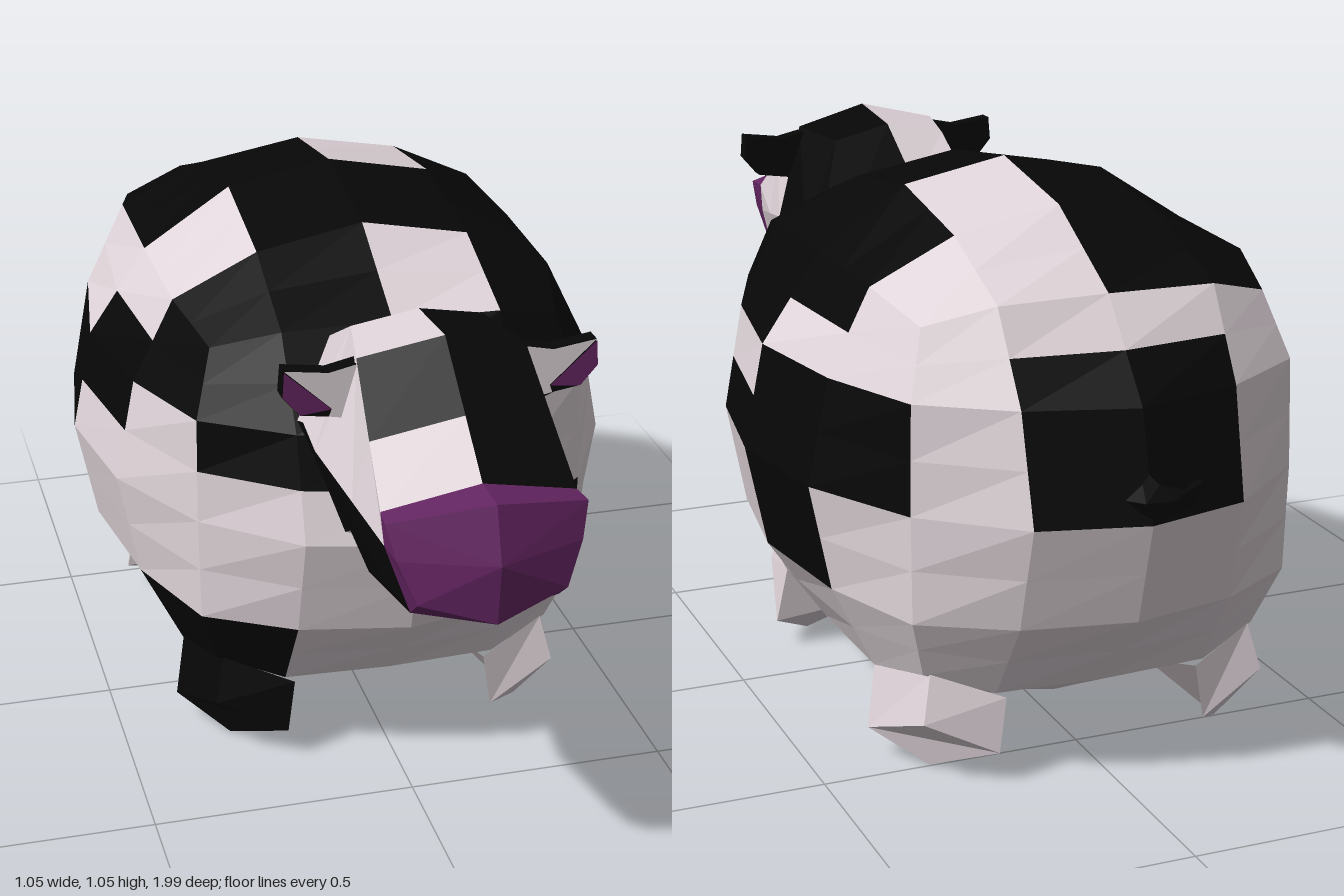
import * as THREE from 'three';

const material = (name, color) => Object.assign(new THREE.MeshStandardMaterial({ color }), { name });

export function createModel() {
  const model = new THREE.Group();
  model.name = 'spottedAnimal';
  const white = material('pinkish white', 0xe0d5da);
  const black = material('black', 0x070707);
  const purple = material('purple', 0x642562);

  const lerp = (a, b, t) => a.map((v, i) => v + (b[i] - v) * t);

  // Flat-shaded mesh from a list of polygons (each an array of points, counter-clockwise)
  function addFaces(name, polygons, mat, parent = model) {
    const pos = [];
    for (const p of polygons)
      for (let i = 1; i < p.length - 1; i++) pos.push(...p[0], ...p[i], ...p[i + 1]);
    if (!pos.length) return;
    const g = new THREE.BufferGeometry();
    g.setAttribute('position', new THREE.Float32BufferAttribute(pos, 3));
    g.computeVertexNormals();
    const mesh = new THREE.Mesh(g, mat);
    mesh.name = name;
    parent.add(mesh);
  }

  // Quads joining two rings of points
  const band = (a, b) => a.map((p, i) => {
    const j = (i + 1) % a.length;
    return [p, a[j], b[j], b[i]];
  });

  // ---- Body: a cube-sphere, 4 x 4 cells a side, stretched lengthwise ----
  const CENTRE = [0, 0.54, -0.14], RADII = [0.525, 0.515, 0.67];
  const U = [[0, 0, 0], [0.383, 0.39, 0.395], [0.707, 0.7, 0.63]];
  const W = [[1, 0.924, 0.707], [0.924, 0.85, 0.7], [0.707, 0.7, 0.63]];
  // Spots per cell: # black, . white, n upper half black, u lower half black
  const sides = [
    { to: (u, v, w) => [w, v, -u], spots: ['##n.', '.u##', '..#.', '#...'] },   // left flank
    { to: (u, v, w) => [-w, v, u], spots: ['..u#', '##n.', '.#..', '...#'] },   // right flank
    { to: (u, v, w) => [u, v, w], spots: ['####', 'nn..', '...#', '#...'] },    // chest
    { to: (u, v, w) => [-u, v, -w], spots: ['.uu.', '.##.', '....', '....'] },  // rump
    { to: (u, v, w) => [u, w, -v], spots: ['##..', '##.#', '.###', '##.#'] },   // back
    { to: (u, v, w) => [u, -w, v], spots: ['....', '....', '....', '....'] },   // belly
  ];
  const coat = { white: [], black: [] };
  for (const { to, spots } of sides) {
    const point = (i, j) => {
      const a = Math.abs(i), b = Math.abs(j);
      return to(Math.sign(i) * U[a][b], Math.sign(j) * U[b][a], W[a][b])
        .map((v, k) => CENTRE[k] + v * RADII[k]);
    };
    for (let r = 0; r < 4; r++) for (let c = 0; c < 4; c++) {
      const tl = point(c - 2, 2 - r), tr = point(c - 1, 2 - r);
      const bl = point(c - 2, 1 - r), br = point(c - 1, 1 - r);
      const ml = lerp(tl, bl, 0.5), mr = lerp(tr, br, 0.5);
      const s = spots[r][c];
      coat['#n'.includes(s) ? 'black' : 'white'].push([ml, mr, tr, tl]);
      coat['#u'.includes(s) ? 'black' : 'white'].push([bl, br, mr, ml]);
    }
  }
  addFaces('bodyWhite', coat.white, white);
  addFaces('bodySpots', coat.black, black);

  // ---- Legs: short stubs drawn out of the belly corners ----
  const legTop = [[0.32, 0.218, 0.43], [0.19, 0.17, 0.475], [0.2, 0.09, 0.25], [0.365, 0.178, 0.26]];
  const legEnd = [[0.34, 0.13, 0.45], [0.205, 0.065, 0.48], [0.295, 0.003, 0.355], [0.385, 0.06, 0.275]];
  for (const sx of [1, -1]) for (const sz of [1, -1]) {
    const place = (ring) => {
      const out = ring.map(([x, y, z]) => [x * sx, y, CENTRE[2] + z * sz]);
      return sx * sz < 0 ? out.reverse() : out;
    };
    const a = place(legTop), b = place(legEnd);
    const name = (sz > 0 ? 'front' : 'rear') + (sx > 0 ? 'Left' : 'Right') + 'Leg';
    addFaces(name, [...band(a, b), b], sx < 0 && sz > 0 ? black : white);
  }

  // ---- Neck and head: half sections from crown to chin, mirrored ----
  const ringOf = (half) => [
    ...half.slice(0, 4).map(([x, y, z]) => [-x, y, z]),
    ...half.slice(1).reverse(),
  ];
  const neck = [[0, 0.9, 0.34], [0.12, 0.89, 0.34], [0.2, 0.75, 0.38], [0.13, 0.56, 0.48], [0, 0.5, 0.5]];
  const nape = [[0, 0.995, 0.5], [0.12, 0.97, 0.49], [0.2, 0.78, 0.46], [0.13, 0.59, 0.53], [0, 0.565, 0.55]];
  const brow = [[0, 1.01, 0.66], [0.15, 0.975, 0.64], [0.213, 0.79, 0.6], [0.13, 0.57, 0.655], [0, 0.525, 0.66]];
  const muzzle = [[0, 0.838, 0.885], [0.17, 0.8, 0.87], [0.165, 0.74, 0.877], [0.13, 0.63, 0.915], [0, 0.605, 0.92]];
  const bridge = brow.map((p, i) => lerp(p, muzzle[i], 0.55));
  const noseRim = [[0, 0.838, 0.965], [0.175, 0.8, 0.915], [0.16, 0.74, 0.937], [0.13, 0.665, 0.957], [0, 0.627, 0.985]];

  // Spots run round each band from the crown, right side first
  const sections = [neck, nape, brow, bridge, muzzle].map(ringOf);
  const headSpots = ['..#...##', '..#...##', '#.#....#', '..#....#'];
  const head = { white: [], black: [] };
  headSpots.forEach((row, k) => band(sections[k], sections[k + 1])
    .forEach((quad, i) => head[row[i] === '#' ? 'black' : 'white'].push(quad)));
  addFaces('headWhite', head.white, white);
  addFaces('headSpots', head.black, black);

  // Snout block with a slightly pointed front
  const rim = ringOf(noseRim), tip = [0, 0.74, 0.997];
  addFaces('snout', [
    ...band(sections[4], rim),
    ...rim.map((p, i) => [p, rim[(i + 1) % rim.length], tip]),
  ], purple);

  // ---- Ears: black shells with white and purple front plates ----
  const earOutline = [[0.14, 0.97], [0.2, 0.957], [0.278, 0.968], [0.282, 0.92], [0.25, 0.882], [0.17, 0.87]];
  const earBase = [[0.14, 0.97], [0.2, 0.957], [0.278, 0.968], [0.195, 0.89], [0.2, 0.876], [0.17, 0.87]];
  const earInner = [[0.195, 0.89], [0.278, 0.966], [0.281, 0.92], [0.25, 0.884]];
  for (const s of [1, -1]) {
    const ear = new THREE.Group();
    ear.name = s > 0 ? 'leftEar' : 'rightEar';
    const shape = (pts) => new THREE.Shape(pts.map(([x, y]) => new THREE.Vector2(x * s, y)));
    const add = (name, geometry, mat, z) => {
      const mesh = new THREE.Mesh(geometry, mat);
      mesh.name = name;
      mesh.position.z = z;
      ear.add(mesh);
    };
    add('earShell', new THREE.ExtrudeGeometry(shape(earOutline), { depth: 0.03, bevelEnabled: false }), black, 0.615);
    add('earBase', new THREE.ShapeGeometry(shape(earBase)), white, 0.648);
    add('earInner', new THREE.ShapeGeometry(shape(earInner)), purple, 0.65);
    model.add(ear);
  }

  // ---- Tail: tapering four-sided rings with a small tuft ----
  const tailRings = [ // y, z, half width, half height
    [0.58, -0.75, 0.06, 0.05], [0.59, -0.83, 0.025, 0.032], [0.625, -0.92, 0.013, 0.018],
    [0.645, -0.95, 0.018, 0.022], [0.682, -0.995, 0.004, 0.005],
  ].map(([y, z, w, h]) => [[0, y + h, z], [w, y, z], [0, y - h, z], [-w, y, z]]);
  const tail = tailRings.slice(1).flatMap((ring, i) => band(tailRings[i], ring));
  addFaces('tail', [...tail, tailRings[4]], black);

  return model;
}
